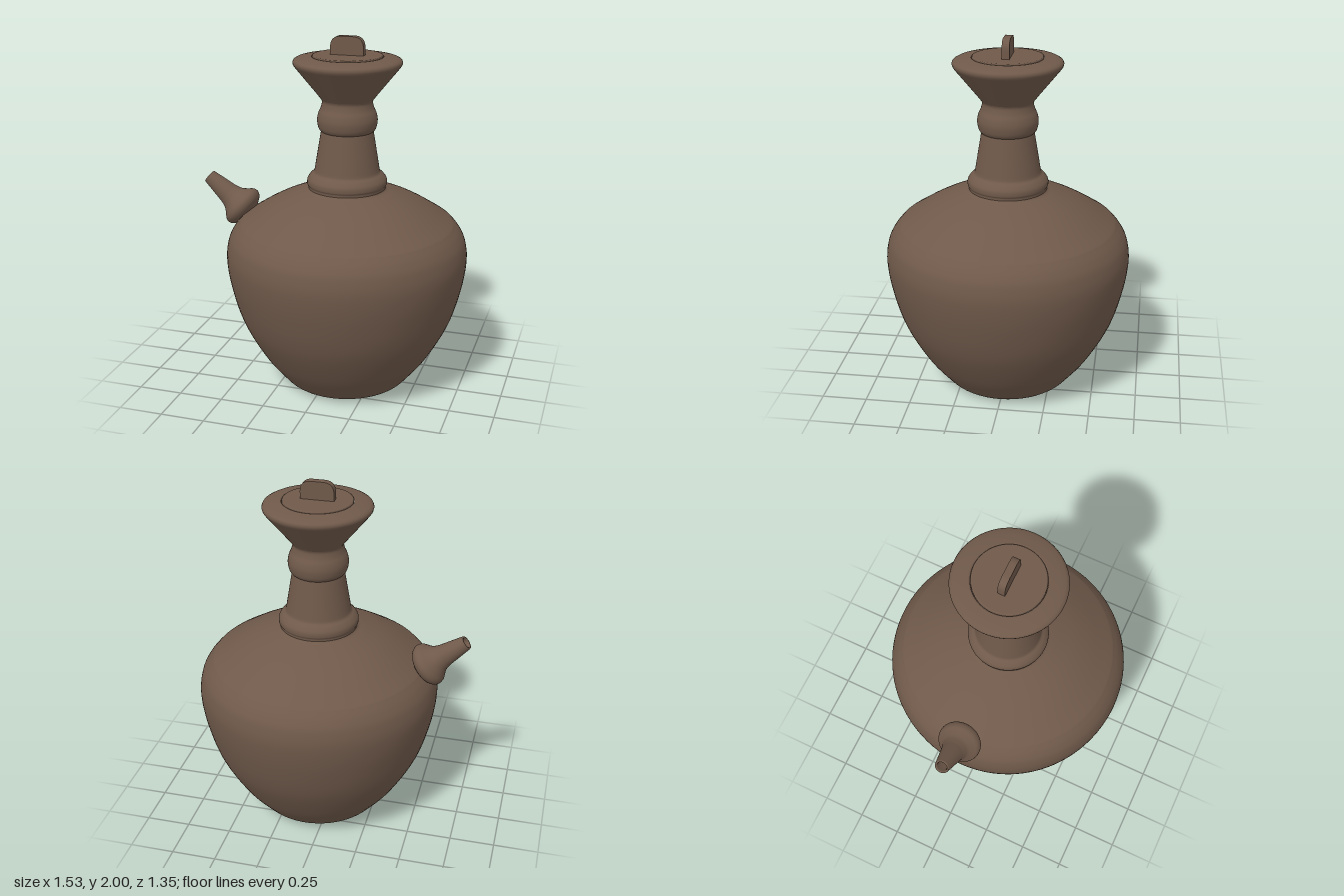
import * as THREE from 'three';

const clay = new THREE.MeshStandardMaterial({ color: 0x6f594a });
clay.name = 'brown clay';

const AXIS_X = 0.087; // the vessel axis is offset because the spout sticks out to one side

const vec = ([r, y]) => new THREE.Vector2(r, y);

// smooth curve through a few profile points
const smooth = (pts, n) => new THREE.SplineCurve(pts.map(vec)).getPoints(n);

function turned(name, points, segments = 96) {
  const mesh = new THREE.Mesh(new THREE.LatheGeometry(points, segments), clay);
  mesh.name = name;
  return mesh;
}

export function createModel() {
  const model = new THREE.Group();
  model.name = 'ewer';
  const vessel = new THREE.Group();
  vessel.name = 'vessel';
  vessel.position.x = AXIS_X;
  model.add(vessel);

  // underside with a shallow round recess
  vessel.add(turned('base', [[0, 0.025], [0.095, 0.025], [0.1, 0.022], [0.105, 0.005], [0.11, 0.003], [0.2, 0.003], [0.25, 0.005]].map(vec)));

  // belly
  vessel.add(turned('belly', smooth([
    [0.25, 0.005], [0.31, 0.012], [0.345, 0.028], [0.385, 0.07], [0.485, 0.2], [0.593, 0.4],
    [0.653, 0.6], [0.676, 0.76], [0.664, 0.86], [0.635, 0.92], [0.597, 0.965],
  ], 64)));

  // shoulder, set off by a fine crease
  vessel.add(turned('shoulder', smooth([
    [0.597, 0.965], [0.585, 0.974], [0.545, 1.0], [0.46, 1.053], [0.37, 1.1], [0.27, 1.14], [0.226, 1.155], [0.214, 1.165],
  ], 40)));

  // collar ring at the foot of the neck
  vessel.add(turned('collar', smooth([
    [0.214, 1.165], [0.215, 1.178], [0.221, 1.19], [0.219, 1.215], [0.203, 1.238], [0.184, 1.255], [0.178, 1.275],
  ], 32)));

  // tapering neck
  vessel.add(turned('neck', [[0.178, 1.275], [0.174, 1.3], [0.145, 1.475], [0.143, 1.485]].map(vec)));

  // swelling ring on the neck
  vessel.add(turned('neckRing', smooth([
    [0.143, 1.485], [0.153, 1.495], [0.161, 1.515], [0.165, 1.55], [0.158, 1.585], [0.145, 1.615], [0.138, 1.645], [0.142, 1.66],
  ], 32)));

  // flared mouth with a rounded lip
  vessel.add(turned('mouth', [
    [0.142, 1.66], [0.165, 1.69], [0.285, 1.838], [0.293, 1.85], [0.296, 1.862], [0.291, 1.873],
    [0.278, 1.88], [0.25, 1.886], [0.2, 1.894], [0.193, 1.893], [0.191, 1.886],
  ].map(vec)));

  // lid disc
  vessel.add(turned('lid', [[0.19, 1.885], [0.19, 1.896], [0.187, 1.9], [0.18, 1.9], [0, 1.9]].map(vec)));

  // flat tab handle with rounded top corners
  const w = 0.092, top = 0.11, r = 0.06;
  const tab = new THREE.Shape();
  tab.moveTo(-w, 0);
  tab.lineTo(w, 0);
  tab.lineTo(w, top - r);
  tab.quadraticCurveTo(w, top, w - r, top);
  tab.lineTo(-w + r, top);
  tab.quadraticCurveTo(-w, top, -w, top - r);
  const handle = new THREE.Mesh(new THREE.ExtrudeGeometry(tab, { depth: 0.04, bevelEnabled: false, curveSegments: 10 }), clay);
  handle.name = 'lidHandle';
  handle.position.set(0, 1.89, -0.02);
  vessel.add(handle);

  // spout: bulb at the shoulder, tapering tube, open tip
  const spout = turned('spout', [
    ...smooth([[0.03, -0.07], [0.075, -0.046], [0.108, -0.026], [0.122, 0], [0.116, 0.026], [0.095, 0.05], [0.074, 0.078], [0.062, 0.115]], 36),
    ...[[0.04, 0.258], [0.038, 0.264], [0.031, 0.264], [0.028, 0.258], [0.028, 0.16], [0, 0.16]].map(vec),
  ], 48);
  spout.position.set(-0.535, 0.987, 0);
  spout.quaternion.setFromUnitVectors(new THREE.Vector3(0, 1, 0), new THREE.Vector3(-0.78, 0.63, 0).normalize());
  model.add(spout);

  return model;
}
